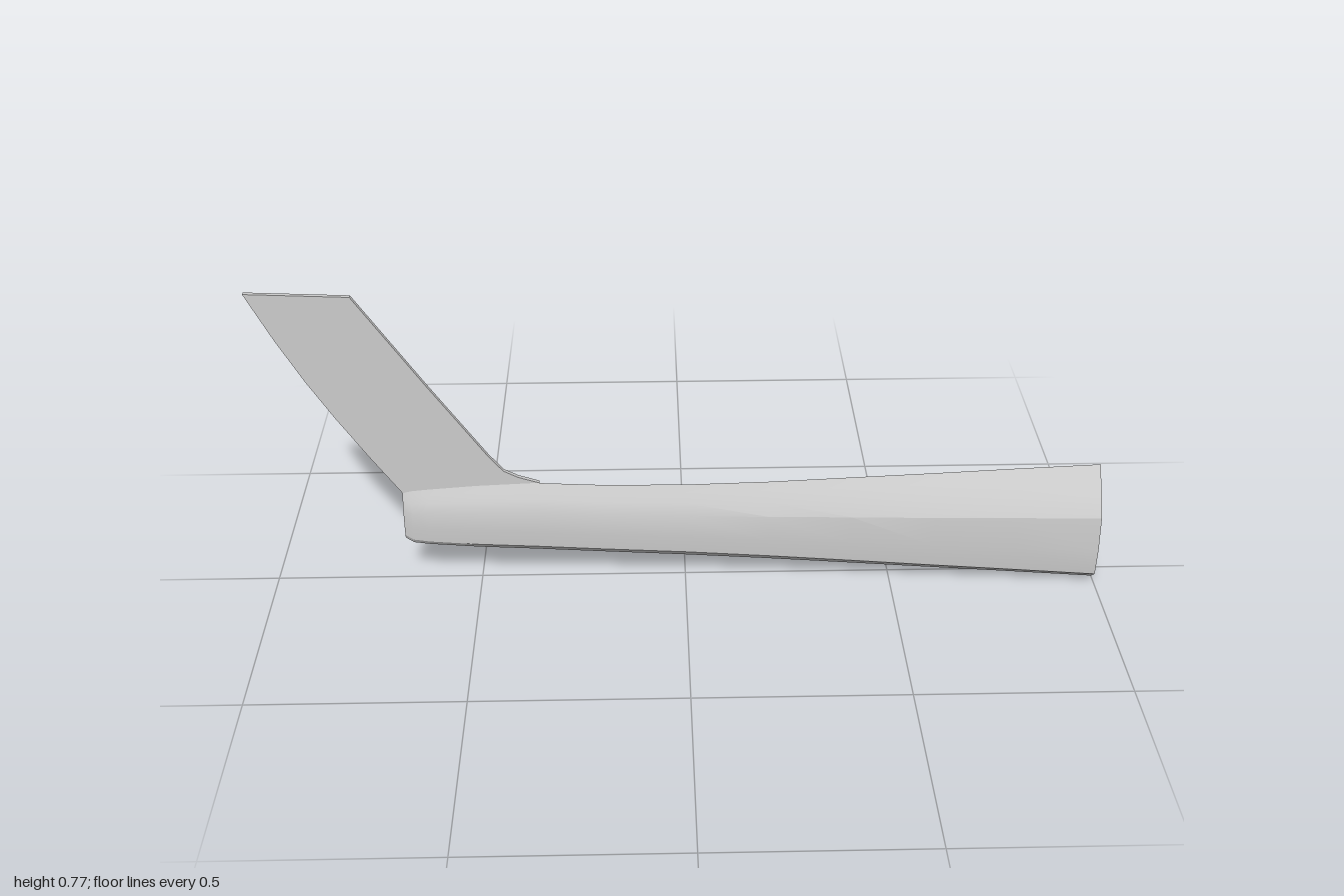
import * as THREE from 'three';
import { toCreasedNormals } from 'three/addons/utils/BufferGeometryUtils.js';

const material = new THREE.MeshStandardMaterial({ color: 0xcccccc, side: THREE.DoubleSide });

// Half section from crown to keel: [fraction of half width, fraction of height]
const half = [
  [0, 1], [0.24, 0.91], [0.6, 0.79], [0.91, 0.63], [1, 0.33], [0.91, 0.09], [0.52, 0.005], [0, 0],
];
const section = [...half, ...half.slice(1, -1).reverse().map(([w, h]) => [-w, h])];

// Stations along the boom: [x, bottom, top, half width]
const stations = [
  [1, 0.003, 0.3, 0.077], [0.8, 0.017, 0.291, 0.069], [0.6, 0.03, 0.281, 0.06],
  [0.4, 0.043, 0.272, 0.05], [0.2, 0.056, 0.263, 0.041], [0, 0.068, 0.258, 0.034],
  [-0.2, 0.08, 0.26, 0.033], [-0.36, 0.09, 0.268, 0.032], [-0.5, 0.097, 0.262, 0.029],
  [-0.62, 0.105, 0.253, 0.023], [-0.66, 0.109, 0.249, 0.018], [-0.68, 0.12, 0.244, 0.01],
];

// Tapered hollow boom, open at the wide end and capped at the narrow end
function createBoom() {
  const n = section.length;
  const positions = [];
  const index = [];
  for (const [x, bottom, top, width] of stations) {
    for (const [w, h] of section) positions.push(x, bottom + h * (top - bottom), w * width);
  }
  for (let i = 0; i < stations.length - 1; i++) {
    for (let j = 0; j < n; j++) {
      const a = i * n + j;
      const b = i * n + (j + 1) % n;
      index.push(a, a + n, b, b, a + n, b + n);
    }
  }
  const last = (stations.length - 1) * n;
  const [x, bottom, top] = stations[stations.length - 1];
  positions.push(x, (bottom + top) / 2, 0);
  for (let j = 0; j < n; j++) index.push(last + n, last + (j + 1) % n, last + j);

  const geometry = new THREE.BufferGeometry();
  geometry.setAttribute('position', new THREE.Float32BufferAttribute(positions, 3));
  geometry.setIndex(index);
  return toCreasedNormals(geometry, 0.3);
}

// Thin swept fin with a small fillet at its leading root
function createFin() {
  const outline = [
    [-1, 0.775], [-0.94, 0.655], [-0.88, 0.547], [-0.82, 0.45], [-0.75, 0.345], [-0.68, 0.245],
    [-0.66, 0.235], [-0.36, 0.255], [-0.35, 0.268], [-0.4, 0.284], [-0.435, 0.302],
    [-0.47, 0.345], [-0.6, 0.53], [-0.76, 0.765],
  ];
  const shape = new THREE.Shape(outline.map(([x, y]) => new THREE.Vector2(x, y)));
  const geometry = new THREE.ExtrudeGeometry(shape, { depth: 0.011, bevelEnabled: false });
  geometry.translate(0, 0, -0.011);
  return geometry;
}

export function createModel() {
  const group = new THREE.Group();
  group.name = 'tailAssembly';
  const parts = { tailBoom: createBoom(), tailFin: createFin() };
  for (const [name, geometry] of Object.entries(parts)) {
    const mesh = new THREE.Mesh(geometry, material);
    mesh.name = name;
    group.add(mesh);
  }
  return group;
}
